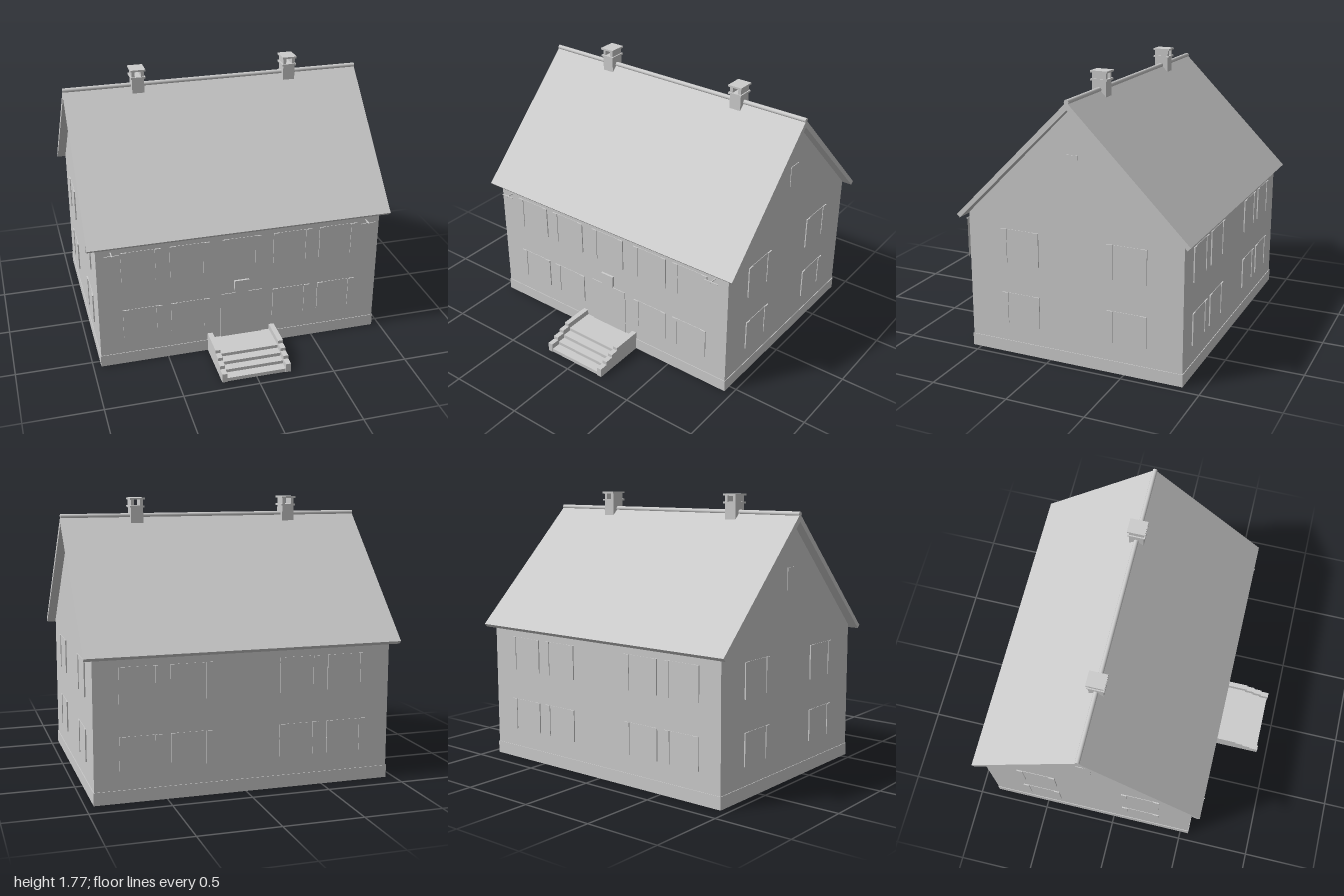
import * as THREE from 'three';

export function createModel() {
  const house = new THREE.Group();
  house.name = 'house';
  const grey = new THREE.MeshStandardMaterial({ color: 0xcccccc, side: THREE.DoubleSide });
  grey.name = 'plaster grey';

  const add = (name, geometry, parent = house) => {
    const mesh = new THREE.Mesh(geometry, grey);
    mesh.name = name;
    parent.add(mesh);
    return mesh;
  };
  // Box given by its minimum and maximum on each axis
  const box = (name, x0, x1, y0, y1, z0, z1, parent) => {
    const mesh = add(name, new THREE.BoxGeometry(x1 - x0, y1 - y0, z1 - z0), parent);
    mesh.position.set((x0 + x1) / 2, (y0 + y1) / 2, (z0 + z1) / 2);
    return mesh;
  };
  const shapeOf = (points) => new THREE.Shape(points.map(([x, y]) => new THREE.Vector2(x, y)));
  // Side profile in (z, y), extruded along x
  const sideExtrude = (name, points, x0, x1) => {
    const g = new THREE.ExtrudeGeometry(shapeOf(points.map(([z, y]) => [-z, y])), { depth: x1 - x0, bevelEnabled: false });
    g.rotateY(Math.PI / 2);
    g.translate(x0, 0, 0);
    return add(name, g);
  };

  const W = 0.945, FRONT = 0.555, BACK = -0.875, RIDGE = -0.16, EAVE = 0.9;

  // Hollow walls, open at the bottom and up into the roof
  for (const [name, z, turn] of [['frontWall', FRONT, 0], ['backWall', BACK, Math.PI]]) {
    const wall = add(name, new THREE.PlaneGeometry(2 * W, EAVE));
    wall.position.set(0, EAVE / 2, z);
    wall.rotation.y = turn;
  }
  for (const s of [1, -1]) {
    const gable = add(s > 0 ? 'leftGable' : 'rightGable', new THREE.ShapeGeometry(shapeOf(
      [[-0.715, 0], [0.715, 0], [0.715, EAVE], [0, 1.615], [-0.715, EAVE]])));
    gable.position.set(s * W, 0, RIDGE);
    gable.rotation.y = s * Math.PI / 2;
  }

  // Plinth
  const P = 0.004, PH = 0.08;
  box('plinthFront', -W - P, W + P, 0, PH, FRONT, FRONT + P);
  box('plinthBack', -W - P, W + P, 0, PH, BACK - P, BACK);
  for (const s of [1, -1]) {
    const x = s * (W + P / 2);
    box('plinthSide', x - P / 2, x + P / 2, 0, PH, BACK, FRONT);
  }

  // Roof slabs meeting at the ridge, with a round ridge cap
  sideExtrude('roof', [
    [0.61, 0.895], [RIDGE, 1.662], [-0.93, 0.895], [-0.91, 0.875], [RIDGE, 1.615], [0.59, 0.875],
  ], -1, 1);
  const cap = add('ridgeCap', new THREE.CylinderGeometry(0.015, 0.015, 2, 12));
  cap.rotation.z = Math.PI / 2;
  cap.position.set(0, 1.661, RIDGE);

  // Chimneys with two side slabs under the cover
  for (const x of [-0.515, 0.515]) {
    const chimney = new THREE.Group();
    chimney.name = 'chimney';
    chimney.position.set(x, 0, RIDGE);
    house.add(chimney);
    box('stack', -0.04, 0.04, 1.58, 1.715, -0.047, 0.047, chimney);
    box('collar', -0.048, 0.048, 1.713, 1.725, -0.056, 0.056, chimney);
    for (const s of [-1, 1]) box('coverSupport', s * 0.03 - 0.01, s * 0.03 + 0.01, 1.725, 1.764, -0.047, 0.047, chimney);
    box('cover', -0.049, 0.049, 1.763, 1.775, -0.058, 0.058, chimney);
  }

  // Window: pane, inner frame and a pair of shutters
  const addWindow = (x, y0, y1, z, turn) => {
    const win = new THREE.Group();
    win.name = 'window';
    win.position.set(x, 0, z);
    win.rotation.y = turn;
    house.add(win);
    box('pane', -0.09, 0.09, y0, y1, -0.004, 0.003, win);
    for (const s of [-1, 1]) {
      box('shutter', s * 0.11 - 0.02, s * 0.11 + 0.02, y0, y1, 0, 0.008, win);
      box('frameSide', s * 0.085 - 0.006, s * 0.085 + 0.006, y0, y1, -0.012, 0, win);
    }
    box('frameTop', -0.09, 0.09, y1 - 0.012, y1, -0.012, 0, win);
    box('frameBottom', -0.09, 0.09, y0, y0 + 0.012, -0.012, 0, win);
  };
  for (const [floor, y0, y1] of [['lower', 0.2, 0.405], ['upper', 0.605, 0.825]]) {
    for (const x of [-0.66, -0.345, 0.345, 0.66]) {
      addWindow(x, y0, y1, FRONT, 0);
      addWindow(x, y0, y1, BACK, Math.PI);
    }
    if (floor === 'upper') addWindow(0, y0, y1, FRONT, 0);
    for (const s of [1, -1])
      for (const z of [0.2, -0.515]) addWindow(s * W, y0, y1, z, s * Math.PI / 2);
  }
  // Small attic windows
  for (const s of [1, -1])
    box('atticWindow', s * W - 0.004, s * W + 0.004, 1.2, 1.34, RIDGE - 0.045, RIDGE + 0.045);

  // Front door
  box('door', -0.14, 0.14, 0.09, 0.42, FRONT - 0.005, FRONT + 0.005);

  // Shield above the door
  const shield = new THREE.Shape();
  shield.moveTo(-0.05, 0.515);
  shield.lineTo(-0.05, 0.46);
  shield.bezierCurveTo(-0.05, 0.425, -0.025, 0.408, 0, 0.402);
  shield.bezierCurveTo(0.025, 0.408, 0.05, 0.425, 0.05, 0.46);
  shield.lineTo(0.05, 0.515);
  add('shield', new THREE.ExtrudeGeometry(shield, { depth: 0.015, bevelEnabled: false }))
    .position.z = FRONT + 0.003;

  // Swallow-tailed banners hung from poles
  for (const s of [-1, 1]) {
    const x = s * 0.85;
    add('banner', new THREE.ShapeGeometry(shapeOf(
      [[-0.042, 0.838], [-0.042, 0.577], [0, 0.605], [0.042, 0.577], [0.042, 0.838]])))
      .position.set(x, 0, 0.605);
    box('bannerBar', x - 0.049, x + 0.049, 0.834, 0.84, 0.602, 0.608);
    box('bannerPole', x - 0.003, x + 0.003, 0.834, 0.84, FRONT, 0.615);
  }

  // Entrance stairs between stepped side walls
  const treads = [[0.025, 0.925], [0.047, 0.865], [0.07, 0.81], [0.092, 0.75]];
  treads.forEach(([y, z], i) =>
    box('step', -0.196, 0.196, i ? treads[i - 1][0] : 0, y, FRONT, z));
  for (const x of [-0.23, 0.196])
    sideExtrude('stairSideWall', [
      [FRONT, 0], [0.93, 0], [0.93, 0.062], [0.872, 0.062], [0.872, 0.086], [0.815, 0.086],
      [0.815, 0.108], [0.76, 0.108], [0.76, 0.13], [FRONT, 0.13],
    ], x, x + 0.034);

  return house;
}
